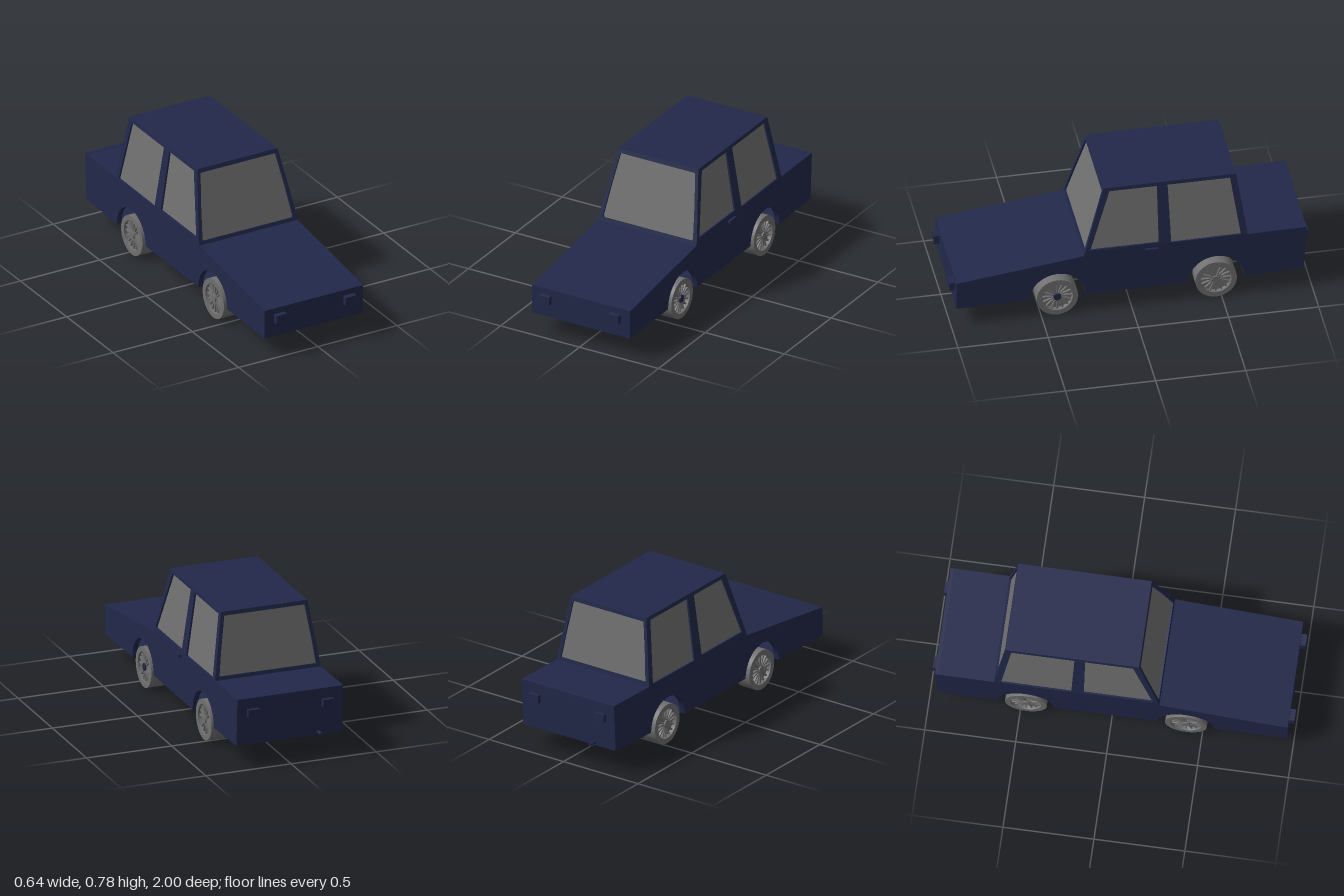
import * as THREE from 'three';
import { toCreasedNormals } from 'three/addons/utils/BufferGeometryUtils.js';

const paint = new THREE.MeshStandardMaterial({ color: 0x22284a, side: THREE.DoubleSide });
const glass = new THREE.MeshStandardMaterial({ color: 0x707070, side: THREE.DoubleSide });
const wheelGrey = new THREE.MeshStandardMaterial({ color: 0x707070 });

const W = 0.3105, ROOF_W = 0.253, WALL = 0.02;
const ARCHES = [0.41, -0.47], ARCH_R = 0.155;
const INSIDE = new THREE.Vector3(0, 0.35, -0.1);
const V = (x, y, z) => new THREE.Vector3(x, y, z);

// Planes of the cabin
const sideX = y => W - (y - 0.4) / 0.375 * (W - ROOF_W);
const frontZ = y => 0.265 - (y - 0.375) / 0.4 * 0.12;
const rearZ = y => -0.645 + (y - 0.4) / 0.375 * 0.055;

function add(parent, name, geometry, material, x = 0, y = 0, z = 0) {
  const mesh = new THREE.Mesh(geometry, material);
  mesh.name = name;
  mesh.position.set(x, y, z);
  parent.add(mesh);
  return mesh;
}

// Flat plate through 3D corner points, with holes, thickened towards the inside
function panel(parent, name, points, holes = [], material = paint, depth = WALL, inset = 0) {
  const o = points[0];
  const u = points[1].clone().sub(o).normalize();
  const n = u.clone().cross(points[2].clone().sub(o)).normalize();
  if (n.dot(o.clone().sub(INSIDE)) < 0) n.negate();
  const v = n.clone().cross(u);
  const flat = list => list.map(p => {
    const d = p.clone().sub(o);
    return new THREE.Vector2(d.dot(u), d.dot(v));
  });
  const shape = new THREE.Shape(flat(points));
  shape.holes = holes.map(h => new THREE.Path(flat(h)));
  const geo = new THREE.ExtrudeGeometry(shape, { depth, bevelEnabled: false });
  geo.translate(0, 0, -depth - inset);
  geo.applyMatrix4(new THREE.Matrix4().makeBasis(u, v, n).setPosition(o));
  return add(parent, name, geo, material);
}

// Framed opening plus its recessed pane
function glazed(parent, name, outline, windows) {
  panel(parent, name + 'Frame', outline, windows);
  windows.forEach(w => panel(parent, name + 'Glass', w, [], glass, 0.004, 0.01));
}

function lowerBody(car) {
  // Side walls with wheel arches; shape x runs towards the rear
  const s = new THREE.Shape();
  s.moveTo(-0.97, 0.285);
  s.lineTo(-0.97, 0.117);
  for (const z of ARCHES) {
    s.lineTo(-z - ARCH_R, 0.12);
    s.absarc(-z, 0.12, ARCH_R, Math.PI, 0, true);
  }
  s.lineTo(0.955, 0.13);
  s.lineTo(0.97, 0.403);
  s.lineTo(0.645, 0.4);
  s.lineTo(-0.2575, 0.4);
  s.lineTo(-0.265, 0.375);
  const wall = new THREE.ExtrudeGeometry(s, { depth: 0.03, bevelEnabled: false, curveSegments: 24 });
  wall.rotateY(Math.PI / 2);
  add(car, 'leftBodySide', wall, paint, W - 0.03);
  add(car, 'rightBodySide', wall, paint, -W);

  // Full-width plates between two points of the profile
  const across = (name, [y0, z0], [y1, z1], depth = WALL) =>
    panel(car, name, [V(-W, y0, z0), V(W, y0, z0), V(W, y1, z1), V(-W, y1, z1)], [], paint, depth);
  across('nose', [0.117, 0.97], [0.285, 0.97]);
  across('hood', [0.285, 0.97], [0.375, 0.265]);
  across('trunkLid', [0.4, -0.645], [0.403, -0.97]);
  across('tail', [0.403, -0.97], [0.13, -0.955]);
  across('frontFloor', [0.117, 0.97], [0.12, ARCHES[0] + ARCH_R], 0.01);
  across('middleFloor', [0.12, ARCHES[0] - ARCH_R], [0.12, ARCHES[1] + ARCH_R], 0.01);
  across('rearFloor', [0.12, ARCHES[1] - ARCH_R], [0.13, -0.955], 0.01);
}

function cabin(car) {
  // Roof
  panel(car, 'roof', [V(-ROOF_W, 0.775, 0.145), V(ROOF_W, 0.775, 0.145),
    V(ROOF_W, 0.775, -0.59), V(-ROOF_W, 0.775, -0.59)]);

  // Windscreen and rear window
  const f = (x, y) => V(x, y, frontZ(y));
  glazed(car, 'windscreen',
    [f(-W, 0.375), f(W, 0.375), f(W, 0.4), f(ROOF_W, 0.775), f(-ROOF_W, 0.775), f(-W, 0.4)],
    [[f(-0.286, 0.395), f(0.286, 0.395), f(0.242, 0.752), f(-0.242, 0.752)]]);
  const r = (x, y) => V(x, y, rearZ(y));
  glazed(car, 'rearWindow',
    [r(-W, 0.4), r(W, 0.4), r(ROOF_W, 0.775), r(-ROOF_W, 0.775)],
    [[r(-0.284, 0.42), r(0.284, 0.42), r(0.242, 0.752), r(-0.242, 0.752)]]);

  // Side windows
  for (const side of [1, -1]) {
    const p = (y, z) => V(side * sideX(y), y, z);
    glazed(car, side > 0 ? 'leftWindow' : 'rightWindow',
      [p(0.4, 0.2575), p(0.4, -0.645), p(0.775, -0.59), p(0.775, 0.145)],
      [[p(0.41, 0.228), p(0.41, -0.152), p(0.754, -0.152), p(0.754, 0.113)],
        [p(0.402, -0.22), p(0.405, -0.607), p(0.754, -0.557), p(0.754, -0.21)]]);
  }
}

function wheel(hubMaterial) {
  const g = new THREE.Group();
  // Tyre with a dished outer face; axis is y, outer side up
  const profile = [[0, -0.0475], [0.115, -0.0475], [0.115, 0.0475], [0.085, 0.0475], [0.082, 0.025], [0, 0.025]];
  const tyre = new THREE.LatheGeometry(profile.map(([x, y]) => new THREE.Vector2(x, y)), 40);
  add(g, 'tyre', toCreasedNormals(tyre, 0.6), wheelGrey);
  add(g, 'hub', new THREE.CylinderGeometry(0.021, 0.021, 0.024, 20), hubMaterial, 0, 0.035, 0);
  const spokes = 16;
  for (let i = 0; i < spokes; i++) {
    const geo = new THREE.BoxGeometry(0.066, 0.014, 0.008);
    geo.translate(0.05, 0.032, 0);
    geo.rotateY(i / spokes * Math.PI * 2);
    add(g, 'spoke', geo, wheelGrey);
  }
  return g;
}

export function createModel() {
  const model = new THREE.Group();
  model.name = 'car';
  const car = new THREE.Group();
  car.name = 'carParts';
  car.position.x = -0.0075;
  model.add(car);

  lowerBody(car);
  cabin(car);

  for (const side of [1, -1]) {
    const label = side > 0 ? 'Left' : 'Right';
    // Wheels
    ARCHES.forEach((z, i) => {
      const w = wheel(i === 0 && side > 0 ? paint : wheelGrey);
      w.name = (i ? 'rear' : 'front') + label + 'Wheel';
      w.rotation.z = -side * Math.PI / 2;
      w.position.set(side * 0.26, 0.115, z);
      car.add(w);
    });
    // Lamps and door seam
    add(car, 'headlight' + label, new THREE.BoxGeometry(0.067, 0.05, 0.04), paint, side * 0.2195, 0.226, 0.98);
    add(car, 'tailLight' + label, new THREE.BoxGeometry(0.067, 0.045, 0.04), paint, side * 0.2195, 0.318, -0.97);
    add(car, 'doorSeam' + label, new THREE.BoxGeometry(0.002, 0.275, 0.004), paint, side * W, 0.26, -0.165);
  }

  // Door handle on the left side and exhaust pipe
  add(car, 'doorHandle', new THREE.BoxGeometry(0.025, 0.016, 0.07), paint, 0.312, 0.372, -0.11);
  const pipe = new THREE.CylinderGeometry(0.009, 0.009, 0.08, 16);
  pipe.rotateX(Math.PI / 2);
  add(car, 'exhaustPipe', pipe, paint, -0.17, 0.147, -0.96);

  return model;
}
